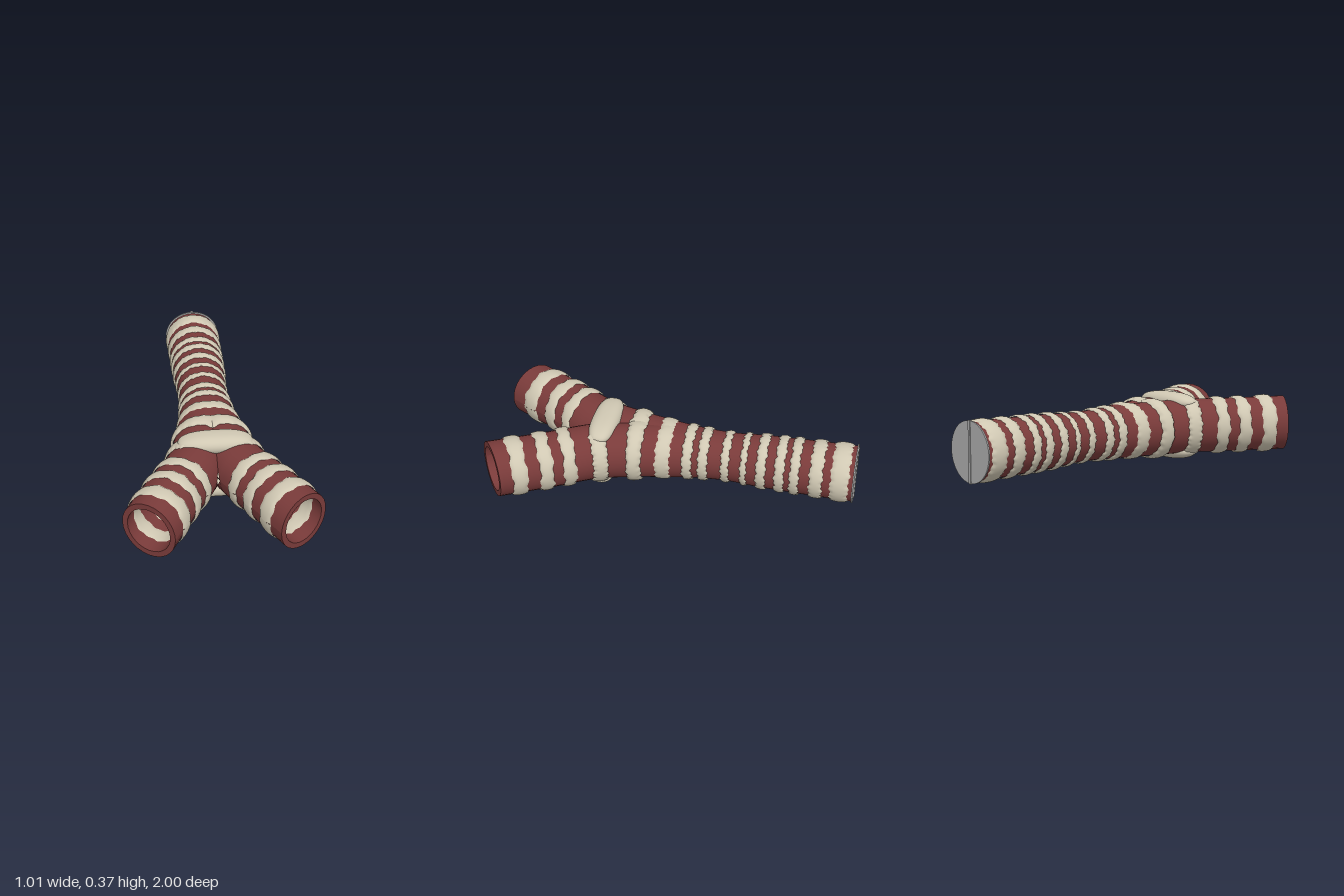
import * as THREE from 'three';

const CY = 0.187;          // height of the tube axis
const WALL = 0.03;
const Z0 = -0.992, Z1 = 0.91;

// Axis of one half: x = sideways offset, y = radius, z = depth
const axis = new THREE.CatmullRomCurve3([
  [0, 0.15, -1.0], [0, 0.148, -0.8], [0, 0.142, -0.5], [0, 0.132, -0.3], [0.008, 0.138, -0.1],
  [0.025, 0.146, 0.05], [0.055, 0.148, 0.2], [0.108, 0.15, 0.4], [0.245, 0.15, 0.65], [0.386, 0.152, 0.92],
].map((p) => new THREE.Vector3(...p)));

function axisAt(z) {
  let lo = 0, hi = 1;
  for (let i = 0; i < 24; i++) {
    const mid = (lo + hi) / 2;
    if (axis.getPoint(mid).z < z) lo = mid; else hi = mid;
  }
  return axis.getPoint(lo);
}

// Lofted skin of one half, each section cut off at the middle plane x = 0
function skin(zAt, offset, rows, cols, side, inward = false, limit = Math.PI) {
  const pos = [], index = [];
  for (let i = 0; i <= rows; i++) {
    for (let j = 0; j <= cols; j++) {
      const u = i / rows, f = (2 * j) / cols - 1;
      const z = zAt(u, f), p = axisAt(z), r = p.y + offset(u, f);
      const tilt = 0.5 * THREE.MathUtils.smoothstep(z, 0.1, 0.5) + 0.12 * THREE.MathUtils.smoothstep(z, 0.8, 0.91);
      const cos = Math.cos(tilt);
      const reach = Math.acos(THREE.MathUtils.clamp(-Math.max(p.x, 0) / (r * cos), -1, 0));
      const a = f * Math.min(reach, limit);
      pos.push(side * Math.max(0, p.x + r * Math.cos(a) * cos), CY + r * Math.sin(a), z - r * Math.cos(a) * Math.sin(tilt));
    }
  }
  const flip = inward !== (side < 0);
  for (let i = 0; i < rows; i++) {
    for (let j = 0; j < cols; j++) {
      const a = i * (cols + 1) + j, b = a + 1, c = a + cols + 1, d = c + 1;
      if (flip) index.push(a, c, b, b, c, d);
      else index.push(a, b, c, b, d, c);
    }
  }
  const g = new THREE.BufferGeometry();
  g.setAttribute('position', new THREE.Float32BufferAttribute(pos, 3));
  g.setIndex(index);
  g.computeVertexNormals();
  return g;
}

// Rings: centre z, half width, bulge, angular limit
const rings = [
  [-0.92, 0.048, 0.011], [-0.795, 0.035, 0.01], [-0.68, 0.025, 0.01], [-0.6, 0.026, 0.01], [-0.5, 0.026, 0.01],
  [-0.405, 0.017, 0.008], [-0.305, 0.022, 0.009], [-0.185, 0.026, 0.01], [-0.1, 0.026, 0.01], [0.03, 0.038, 0.008],
  [0.19, 0.046, 0.017], [0.405, 0.045, 0.014, 1.3],
  [0.56, 0.03, 0.01], [0.67, 0.032, 0.01], [0.80, 0.038, 0.01],
];

export function createModel() {
  const model = new THREE.Group();
  model.name = 'branchingTube';
  const red = new THREE.MeshStandardMaterial({ color: 0x7a3b3a });
  red.name = 'tissue red';
  const cream = new THREE.MeshStandardMaterial({ color: 0xd0c8b3 });
  cream.name = 'cartilage cream';
  const grey = new THREE.MeshStandardMaterial({ color: 0xaeaeae });
  grey.name = 'cap grey';

  const add = (name, geometry, material, parent = model) => {
    const mesh = new THREE.Mesh(geometry, material);
    mesh.name = name;
    parent.add(mesh);
    return mesh;
  };

  for (const side of [1, -1]) {
    const half = new THREE.Group();
    half.name = side > 0 ? 'leftHalf' : 'rightHalf';
    model.add(half);

    // Outer wall, inner wall and the rim of the open end
    const along = (u) => THREE.MathUtils.lerp(Z0, Z1, u);
    add('outerWall', skin(along, () => 0, 90, 28, side), red, half);
    add('innerWall', skin(along, () => -WALL, 90, 28, side, true), red, half);
    add('openRim', skin(() => Z1, (u) => -WALL * u, 1, 28, side), red, half);

    // Raised rings with ragged edges, outside and inside
    rings.forEach(([z, w, bulge, limit = Math.PI], k) => {
      const ragged = (f, s) => 0.0035 * (Math.sin(f * 17 + k * 2.1 + s) + Math.sin(f * 41 + k + s * 3));
      const across = (u, f) => {
        const v = 2 * u - 1;
        return z + v * w + ragged(f, Math.sign(v)) * Math.abs(v);
      };
      const dome = (u) => Math.sqrt(Math.max(0, 1 - (2 * u - 1) ** 2));
      add('ring', skin(across, (u) => 0.0015 + bulge * dome(u), 8, 56, side, false, limit), cream, half);
      add('innerRing', skin(across, (u) => -WALL - 0.0015 - 0.005 * dome(u), 6, 56, side, true, limit), cream, half);
    });
  }

  // Broad pads above and below the fork
  for (const s of [1, -1]) {
    const g = new THREE.SphereGeometry(1, 40, 24);
    const p = g.attributes.position;
    const square = (v) => Math.sign(v) * Math.abs(v) ** 0.75;
    for (let i = 0; i < p.count; i++) {
      p.setXYZ(i, square(p.getX(i)) * 0.195, p.getY(i) * 0.05, square(p.getZ(i)) * 0.076);
    }
    g.computeVertexNormals();
    add(s > 0 ? 'upperForkPad' : 'lowerForkPad', g, cream).position.set(0, CY + s * 0.136, 0.375);
  }

  // Closing disc at the back with a narrow upright seam
  const disc = add('endCap', new THREE.CylinderGeometry(0.159, 0.159, 0.008, 40), grey);
  disc.rotation.x = Math.PI / 2;
  disc.position.set(0, CY, -0.992);
  add('endCapSeam', new THREE.BoxGeometry(0.016, 0.322, 0.009), grey).position.set(0, CY, -0.9955);

  return model;
}
